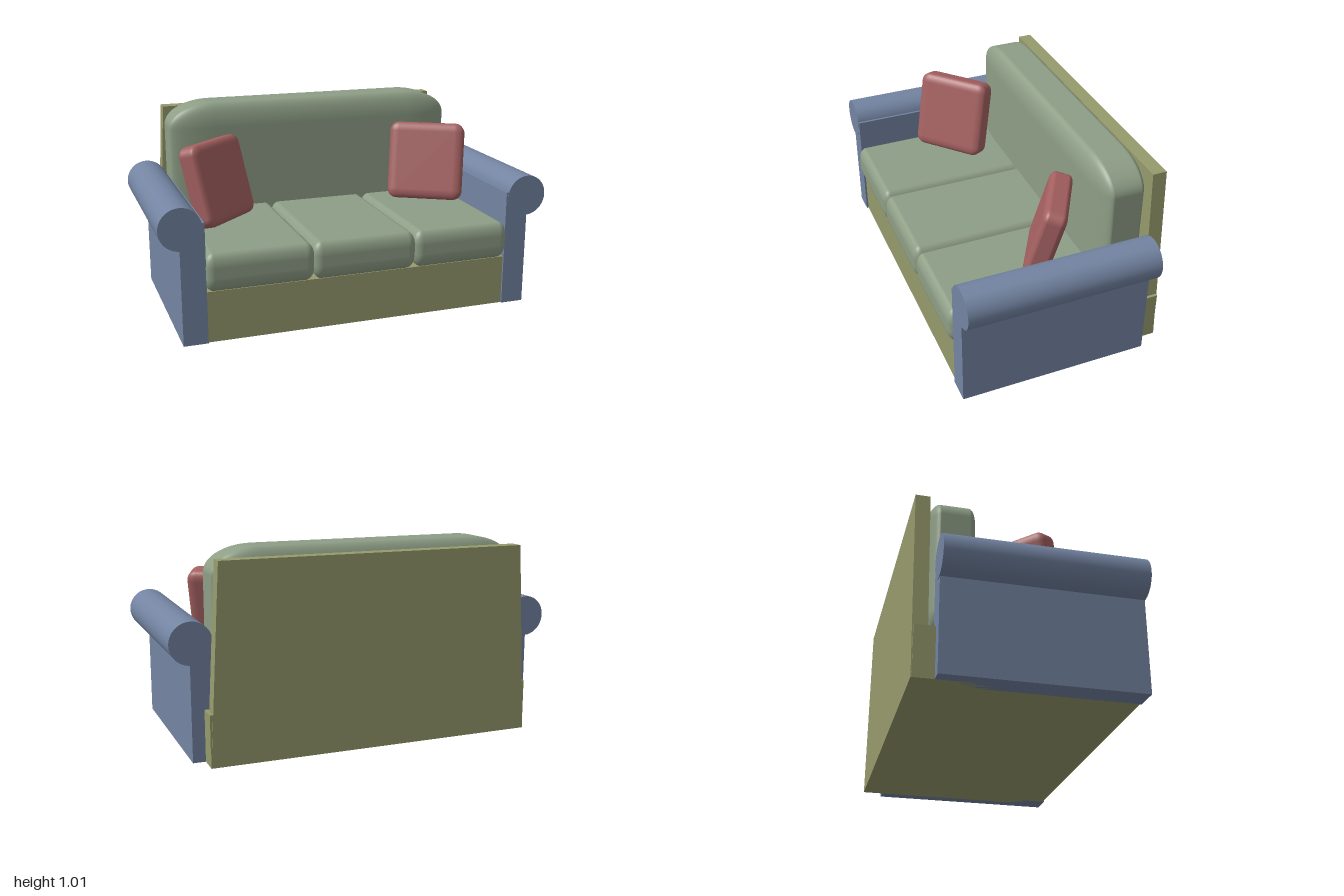
import * as THREE from 'three';
import { RoundedBoxGeometry } from 'three/addons/geometries/RoundedBoxGeometry.js';

const material = (color) => new THREE.MeshStandardMaterial({ color });
const deg = THREE.MathUtils.degToRad;

export function createModel() {
  const sofa = new THREE.Group();
  sofa.name = 'sofa';
  const olive = material(0x969a6c);
  const green = material(0x8e9e86);
  const blue = material(0x7384a2);
  const red = material(0xa46060);

  function add(name, geometry, mat, x = 0, y = 0, z = 0) {
    const mesh = new THREE.Mesh(geometry, mat);
    mesh.name = name;
    mesh.position.set(x, y, z);
    sofa.add(mesh);
    return mesh;
  }

  // Soft block whose corner radius can differ along each axis
  const soft = (w, h, d, rx, ry, rz) =>
    new RoundedBoxGeometry(w / rx, h / ry, d / rz, 8, 1).scale(rx, ry, rz);

  // Straight extrusion starting at z0
  const extrude = (shape, z0, depth) =>
    new THREE.ExtrudeGeometry(shape, { depth, bevelEnabled: false, curveSegments: 40 }).translate(0, 0, z0);

  // Base and tapered back panel
  add('base', new THREE.BoxGeometry(1.68, 0.255, 1.055), olive, 0, 0.1275, -0.0125);
  const panel = new THREE.Shape([
    new THREE.Vector2(-0.84, 0), new THREE.Vector2(0.84, 0),
    new THREE.Vector2(0.785, 0.967), new THREE.Vector2(-0.785, 0.967),
  ]);
  add('backPanel', extrude(panel, -0.545, 0.072), olive);

  // Arms: upright slab with a rolled top
  for (const [side, s] of [['left', 1], ['right', -1]]) {
    add(side + 'Arm', new THREE.BoxGeometry(0.12, 0.6, 0.965), blue, s * 0.842, 0.3, 0.0425);
    const roll = new THREE.CylinderGeometry(0.104, 0.104, 0.97, 40).rotateX(Math.PI / 2);
    add(side + 'ArmRoll', roll, blue, s * 0.896, 0.577, 0.042);
  }

  // Three seat cushions
  const seams = [-0.785, -0.253, 0.277, 0.785];
  for (let i = 0; i < 3; i++) {
    const w = seams[i + 1] - seams[i];
    add('seatCushion' + (i + 1), soft(w + 0.01, 0.19, 0.975, 0.045, 0.07, 0.04), green,
      (seams[i] + seams[i + 1]) / 2, 0.35, 0.0575);
  }

  // Back cushion with wide, shallow corners
  add('backCushion', soft(1.58, 0.76, 0.248, 0.24, 0.13, 0.055), green, 0, 0.63, -0.35);

  // Throw pillows, turned inward and leaning back
  for (const [name, x, z, turn] of [['rightPillow', -0.602, 0.008, 42], ['leftPillow', 0.588, -0.038, -30]]) {
    const pillow = add(name, soft(0.405, 0.42, 0.12, 0.05, 0.05, 0.03), red, x, 0.655, z);
    pillow.rotation.set(deg(-15), deg(turn), 0, 'YXZ');
  }

  return sofa;
}
